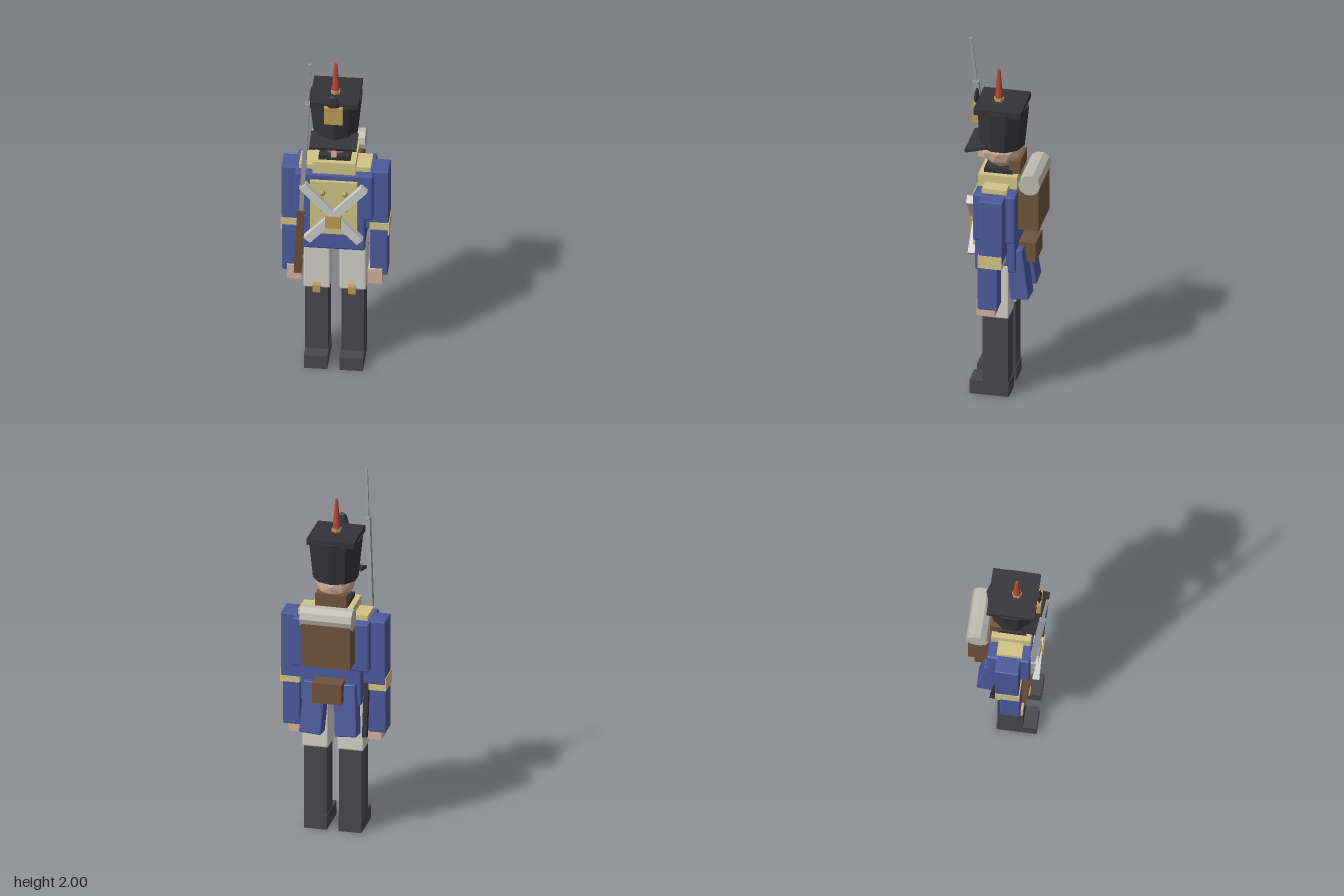
import * as THREE from 'three';
import { RoundedBoxGeometry } from 'three/addons/geometries/RoundedBoxGeometry.js';

const mat = (color) => new THREE.MeshStandardMaterial({ color, flatShading: true });
const M = {
  blue: mat(0x4c5a9c), yellow: mat(0xd2c486), gold: mat(0xb89f58), white: mat(0xd2d0c8),
  belt: mat(0xd6d6d6), brown: mat(0x70543c), black: mat(0x343438), boot: mat(0x48484c),
  skin: mat(0xd4b09c), red: mat(0xb8443c), steel: mat(0x9ca0a6), roll: mat(0xbdbab0),
};

export function createModel() {
  const model = new THREE.Group();

  const add = (name, geo, m, x = 0, y = 0, z = 0, parent = model) => {
    const mesh = new THREE.Mesh(geo, m);
    mesh.name = name;
    mesh.position.set(x, y, z);
    parent.add(mesh);
    return mesh;
  };
  // Box given by its extents; a bevel makes it slightly rounded
  const box = (name, m, [x0, x1], [y0, y1], [z0, z1], bevel = 0, parent = model) => {
    const s = [x1 - x0, y1 - y0, z1 - z0];
    const geo = bevel ? new RoundedBoxGeometry(...s, 1, bevel) : new THREE.BoxGeometry(...s);
    return add(name, geo, m, (x0 + x1) / 2, (y0 + y1) / 2, (z0 + z1) / 2, parent);
  };

  // Parts that come in left and right pairs
  for (const [side, s] of [['left', 1], ['right', -1]]) {
    const pair = (name, m, [a, b], y, z, bevel) =>
      box(side + name, m, s > 0 ? [a, b] : [-b, -a], y, z, bevel);
    pair('Foot', M.boot, [0.032, 0.158], [0, 0.08], [-0.055, 0.16]);
    pair('Boot', M.boot, [0.035, 0.158], [0.08, 0.48], [-0.05, 0.087]);
    pair('Trouser', M.white, [0.025, 0.168], [0.475, 0.8], [-0.055, 0.09], 0.008);
    pair('BootBuckle', M.gold, [0.075, 0.115], [0.465, 0.51], [0.08, 0.12]);
    pair('UpperArm', M.blue, [0.165, 0.287], [0.87, 1.237], [-0.048, 0.08], 0.006);
    pair('Forearm', M.blue, [0.188, 0.283], [0.58, 0.87], [-0.02, 0.088], 0.006);
    pair('Cuff', M.yellow, [0.185, 0.29], [0.835, 0.91], [-0.045, 0.085]);
    pair('Hand', M.skin, [0.177, 0.255], [0.53, 0.62], [0, 0.1]);
    pair('Epaulette', M.yellow, [0.1, 0.192], [1.23, 1.265], [-0.05, 0.085]);
    // Coat tail, swept backwards towards the hem
    const tail = pair('CoatTail', M.blue, [0.03, 0.15], [0.59, 0.88], [-0.145, -0.045], 0.006);
    tail.rotation.set(0.14, 0, s * 0.06);
    // Front buttons
    for (const y of [1.03, 1.13]) {
      add(side + 'Button', new THREE.SphereGeometry(0.017, 8, 6), M.gold, s * 0.06, y, 0.15);
    }
    // Crossed belt
    const belt = add(side + 'CrossBelt', new THREE.BoxGeometry(0.046, 0.46, 0.038), M.belt, s * 0.012, 1.005, 0.153 + s * 0.002);
    belt.rotation.z = -s * 0.73;
  }

  // Coat
  box('coatSkirt', M.blue, [-0.166, 0.166], [0.755, 0.97], [-0.092, 0.13], 0.01);
  box('coatChest', M.blue, [-0.21, 0.21], [0.955, 1.237], [-0.1, 0.13], 0.01);
  box('chestPanel', M.yellow, [-0.126, 0.126], [0.865, 1.2], [0.12, 0.146]);
  box('beltPlate', M.gold, [-0.042, 0.042], [0.925, 1.0], [0.15, 0.182]);
  box('collar', M.yellow, [-0.115, 0.115], [1.225, 1.308], [-0.09, 0.122]);
  box('neckStock', M.black, [-0.085, 0.085], [1.29, 1.335], [-0.06, 0.095]);

  // Backpack, blanket roll, pouch and scabbard
  box('backpack', M.brown, [-0.135, 0.135], [1.01, 1.255], [-0.213, -0.095]);
  const roll = add('blanketRoll', new THREE.CylinderGeometry(0.06, 0.06, 0.284, 10), M.roll, 0, 1.283, -0.162);
  roll.rotation.z = Math.PI / 2;
  box('cartridgePouch', M.brown, [-0.08, 0.08], [0.79, 0.905], [-0.185, -0.085]);
  const scabbard = add('scabbard', new THREE.BoxGeometry(0.025, 0.3, 0.035), M.black, -0.182, 0.72, -0.05);
  scabbard.rotation.x = 0.14;

  // Head
  const head = add('head', new THREE.IcosahedronGeometry(0.11, 1), M.skin, 0, 1.43, 0.015);
  head.scale.set(0.98, 1, 1.05);
  box('nose', M.skin, [-0.015, 0.015], [1.36, 1.405], [0.1, 0.145]);
  box('hair', M.brown, [-0.085, 0.085], [1.315, 1.39], [-0.1, -0.04]);

  // Hat
  add('hatCrown', new THREE.CylinderGeometry(0.146, 0.122, 0.235, 10), M.black, 0, 1.5675, 0.015)
    .rotation.y = Math.PI;
  box('hatTop', M.black, [-0.13, 0.13], [1.672, 1.705], [-0.113, 0.145]);
  const visor = add('visor', new THREE.BoxGeometry(0.252, 0.016, 0.12), M.black, 0, 1.458, 0.134);
  visor.rotation.x = 0.26;
  box('hatBadge', M.gold, [-0.05, 0.05], [1.585, 1.69], [0.13, 0.167]);
  const cockade = add('cockade', new THREE.SphereGeometry(1, 6, 4), M.black, 0, 1.71, 0.155);
  cockade.scale.set(0.036, 0.055, 0.013);
  add('plumeHolder', new THREE.CylinderGeometry(0.027, 0.027, 0.022, 6), M.gold, 0, 1.712, 0.033);
  add('plume', new THREE.CylinderGeometry(0.008, 0.022, 0.175, 8), M.red, 0, 1.802, 0.033);

  // Musket, built upright and leaned along the line from butt to bayonet tip
  const butt = new THREE.Vector3(-0.198, 0.575, 0.085);
  const dir = new THREE.Vector3(-0.12, 2, 0.214).sub(butt);
  const length = dir.length();
  const musket = new THREE.Group();
  musket.name = 'musket';
  musket.position.copy(butt);
  musket.quaternion.setFromUnitVectors(new THREE.Vector3(0, 1, 0), dir.normalize());
  model.add(musket);
  box('musketStock', M.brown, [-0.02, 0.02], [0, 0.43], [-0.022, 0.022], 0, musket);
  box('musketBarrel', M.steel, [-0.012, 0.012], [0.38, 1.165], [-0.017, 0.017], 0, musket);
  box('bayonet', M.steel, [-0.005, 0.005], [1.13, length], [-0.008, 0.008], 0, musket);

  return model;
}
